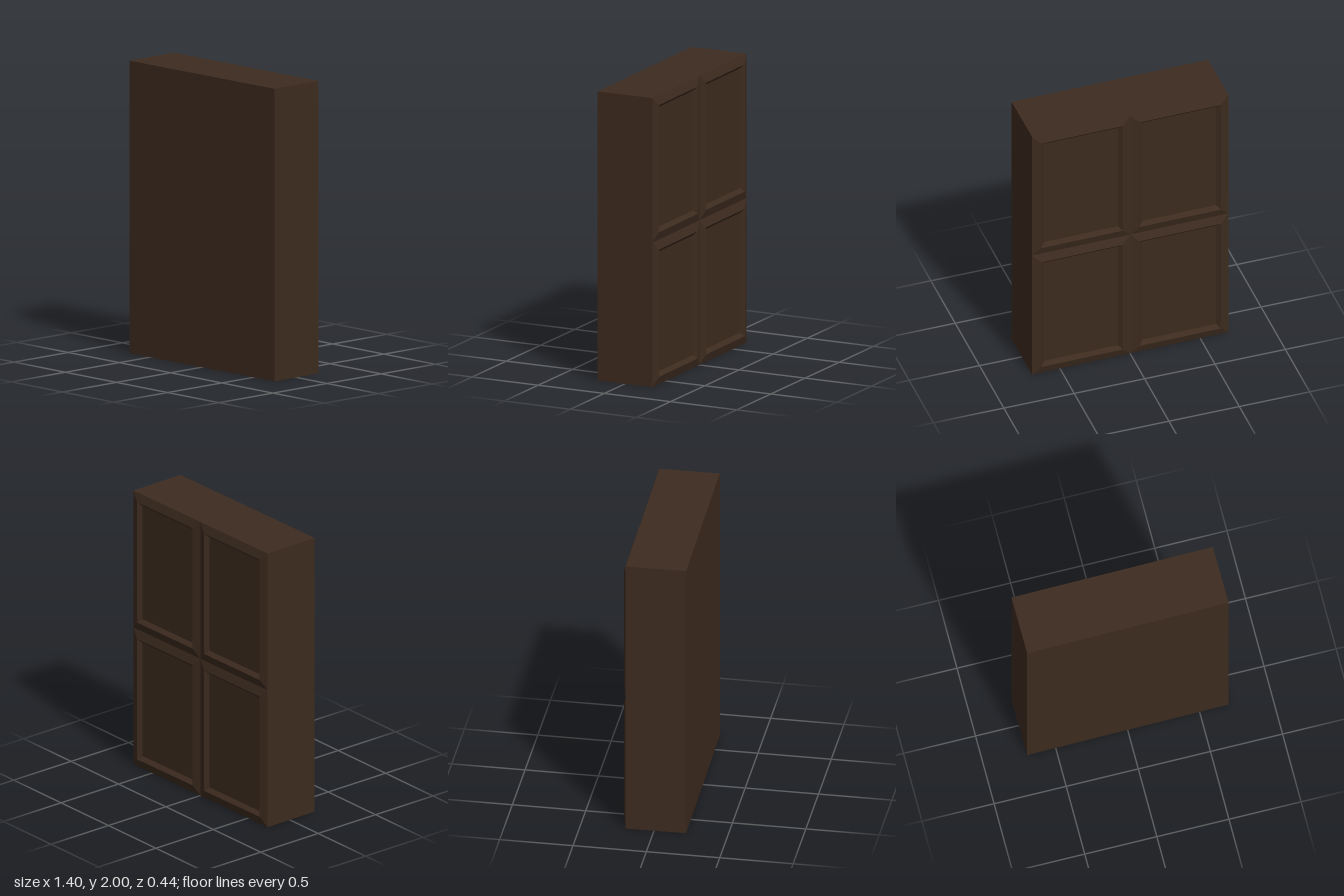
import * as THREE from 'three';

// Coffered tile facing +z: stepped rectangular loops [inset, height] closed by a flat panel
function tileGeometry(w, h, steps) {
  const loops = steps.map(([inset, z]) => {
    const x = w / 2 - inset, y = h / 2 - inset;
    return [[-x, -y, z], [x, -y, z], [x, y, z], [-x, y, z]];
  });
  const pos = [];
  const quad = (a, b, c, d) => pos.push(...a, ...b, ...c, ...a, ...c, ...d);
  for (let i = 0; i < loops.length - 1; i++) {
    for (let k = 0; k < 4; k++) {
      const n = (k + 1) % 4;
      quad(loops[i][k], loops[i][n], loops[i + 1][n], loops[i + 1][k]);
    }
  }
  quad(...loops[loops.length - 1]);
  const geo = new THREE.BufferGeometry();
  geo.setAttribute('position', new THREE.Float32BufferAttribute(pos, 3));
  geo.computeVertexNormals();
  return geo;
}

export function createModel() {
  const model = new THREE.Group();
  model.name = 'panelledBlock';
  const darkWood = new THREE.MeshStandardMaterial({ color: 0x3d2b1f });
  darkWood.name = 'darkWood';

  const W = 1.4, H = 2, front = 0.212, back = 0.18;

  // Solid block
  const body = new THREE.Mesh(new THREE.BoxGeometry(W, H, front + back), darkWood);
  body.name = 'body';
  body.position.set(0, H / 2, (front - back) / 2);
  model.add(body);

  // Four tiles on the back: side wall, outer bevel, inner bevel, sunken panel
  const geo = tileGeometry(W / 2, H / 2, [[0, back], [0, 0.2], [0.06, 0.219], [0.086, 0.193]]);
  const panels = new THREE.Group();
  panels.name = 'backPanels';
  panels.rotation.y = Math.PI;
  for (const sx of [-1, 1]) {
    for (const sy of [-1, 1]) {
      const tile = new THREE.Mesh(geo, darkWood);
      tile.name = (sy > 0 ? 'upper' : 'lower') + (sx < 0 ? 'Left' : 'Right') + 'Panel';
      tile.position.set(sx * W / 4, H / 2 + sy * H / 4, 0);
      panels.add(tile);
    }
  }
  model.add(panels);

  // The whole block stands very slightly turned
  model.rotation.y = 0.0095;
  return model;
}
